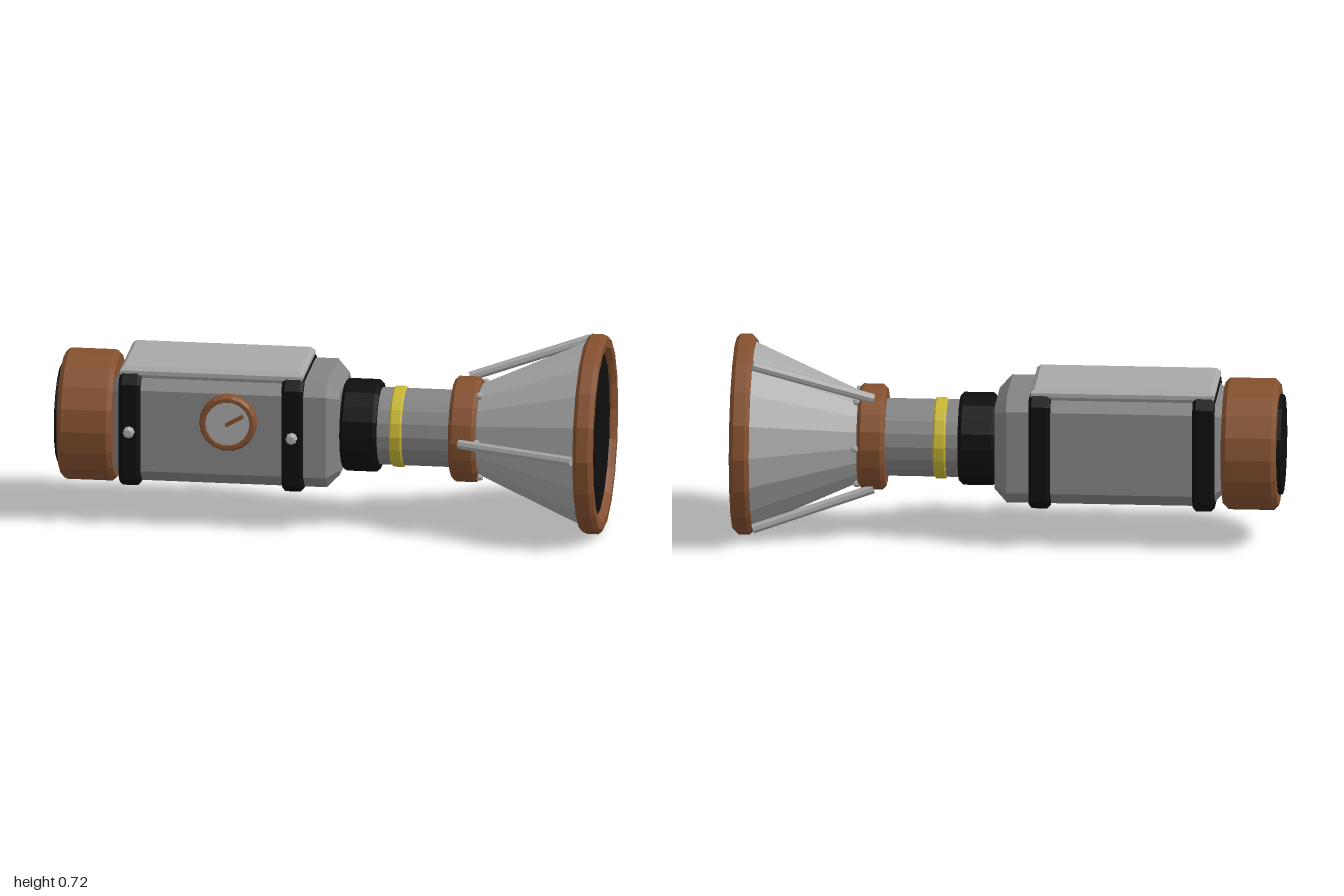
import * as THREE from 'three';

const mat = (name, color) => {
  const m = new THREE.MeshStandardMaterial({ color });
  m.name = name;
  return m;
};

export function createModel() {
  const model = new THREE.Group();
  model.name = 'hornDevice';
  const steel = mat('steel grey', 0x848484);
  const silver = mat('light grey', 0xa8a8a8);
  const copper = mat('copper brown', 0x84502f);
  const black = mat('black', 0x0e0e0e);
  const yellow = mat('yellow', 0xc8b634);

  // everything is arranged around one long axis
  const axis = new THREE.Group();
  axis.name = 'assembly';
  axis.position.set(0, 0.361, -0.004);
  model.add(axis);

  // facet every geometry so it shades flat
  const add = (name, geo, material, parent = axis) => {
    const g = geo.index ? geo.toNonIndexed() : geo;
    g.computeVertexNormals();
    const mesh = new THREE.Mesh(g, material);
    mesh.name = name;
    parent.add(mesh);
    return mesh;
  };

  // turned part along x from [x, radius] pairs
  const turned = (pts, sides = 18) => {
    const g = new THREE.LatheGeometry(pts.map(([x, r]) => new THREE.Vector2(r, x)), sides);
    return g.rotateZ(-Math.PI / 2);
  };
  // closed drum with bevelled rims
  const drum = (x0, x1, r, b, sides) =>
    turned([[x0, 0], [x0, r - b], [x0 + b, r], [x1 - b, r], [x1, r - b], [x1, 0]], sides);

  // bevelled prism with cut corners, extruded along z and centred there
  const prism = (w, h, len, cut, bevel) => {
    const a = w / 2, b = h / 2, s = new THREE.Shape();
    s.moveTo(-a + cut, -b);
    s.lineTo(a - cut, -b);
    if (cut) s.lineTo(a, -b + cut);
    s.lineTo(a, b - cut);
    if (cut) s.lineTo(a - cut, b);
    s.lineTo(-a + cut, b);
    if (cut) s.lineTo(-a, b - cut);
    s.lineTo(-a, -b + cut);
    s.closePath();
    const g = new THREE.ExtrudeGeometry(s, {
      depth: len - 2 * bevel, bevelEnabled: true, bevelThickness: bevel,
      bevelSize: bevel, bevelOffset: -bevel, bevelSegments: 1,
    });
    return g.translate(0, 0, bevel - len / 2);
  };

  // housing
  add('housing', prism(0.395, 0.4, 0.835, 0.047, 0.045).rotateY(Math.PI / 2), steel)
    .position.set(-0.3725, 0.003, 0);
  add('topPlate', prism(0.67, 0.352, 0.045, 0, 0.015).rotateX(-Math.PI / 2), silver)
    .position.set(-0.423, 0.2165, 0);

  // straps, each with a bolt on the front
  for (const x of [-0.72, -0.122]) {
    add('strap', prism(0.42, 0.425, 0.08, 0.035, 0.012).rotateY(Math.PI / 2), black)
      .position.set(x, 0.002, 0);
    const bolt = drum(0, 0.035, 0.021, 0.008, 8).rotateY(-Math.PI / 2);
    add('strapBolt', bolt, silver).position.set(x, 0.002, 0.2);
  }

  // rear cap
  add('rearCap', drum(-0.985, -0.785, 0.241, 0.017), copper);
  add('rearDisc', drum(-1, -0.98, 0.183, 0.002), black);

  // pressure gauge
  const gauge = new THREE.Group();
  gauge.name = 'gauge';
  gauge.position.set(-0.355, 0.054, 0.185);
  axis.add(gauge);
  const rim = turned([[0, 0.105], [0.042, 0.105], [0.053, 0.097], [0.053, 0.084], [0.045, 0.08]]);
  add('gaugeRim', rim.rotateY(-Math.PI / 2), copper, gauge);
  add('gaugeFace', new THREE.CircleGeometry(0.082, 18), silver, gauge).position.z = 0.047;
  const needle = add('gaugeNeedle', new THREE.BoxGeometry(0.07, 0.014, 0.009), copper, gauge);
  needle.position.set(0.029, 0.017, 0.06);
  needle.rotation.z = Math.PI / 6;
  const pin = new THREE.CylinderGeometry(0.008, 0.008, 0.015, 8).rotateX(Math.PI / 2);
  add('needlePin', pin, copper, gauge).position.z = 0.054;

  // neck
  add('coupling', drum(0.045, 0.18, 0.17, 0.013), black);
  add('pipe', drum(0.16, 0.47, 0.142, 0.002), steel);
  add('yellowRing', drum(0.225, 0.271, 0.149, 0.006), yellow);
  add('collar', drum(0.447, 0.547, 0.194, 0.014), copper);

  // horn with its mouth ring and dark opening
  add('horn', turned([[0.54, 0.165], [0.94, 0.344]]), silver);
  add('mouthRing', turned([
    [0.928, 0.3], [0.928, 0.352], [0.943, 0.367], [0.985, 0.367],
    [1, 0.352], [1, 0.321], [0.985, 0.307], [0.97, 0.303],
  ]), copper);
  add('mouthDisc', turned([[0.976, 0.308], [0.976, 0]]), black);

  // three struts along the horn
  for (let i = 0; i < 3; i++) {
    const a = i * Math.PI * 2 / 3;
    const dx = 0.435, dr = 0.16;
    const g = new THREE.CylinderGeometry(0.018, 0.018, Math.hypot(dx, dr), 8);
    g.rotateZ(-Math.PI / 2).rotateY(-Math.atan2(dr, dx));
    g.translate(0.708, 0, 0.276).rotateX(-a);
    add('strut', g, silver);
  }

  // collar bolts
  for (let i = 0; i < 6; i++) {
    const a = i * Math.PI / 3;
    add('collarBolt', drum(0.54, 0.563, 0.013, 0.005, 8), silver)
      .position.set(0, 0.178 * Math.sin(a), 0.178 * Math.cos(a));
  }

  return model;
}
